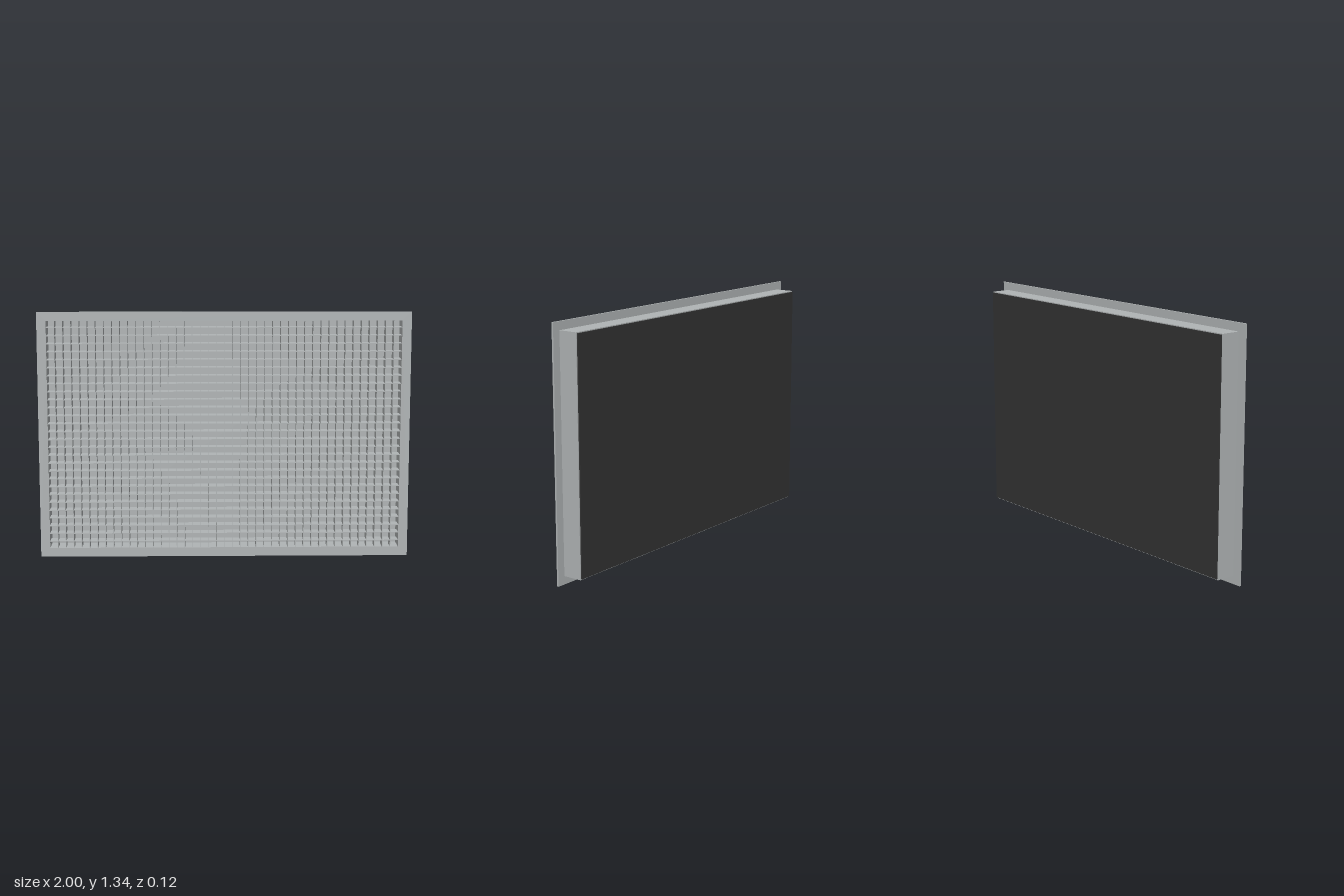
import * as THREE from 'three';

const CY = 0.668;       // centre height of the panel
const PITCH = 0.0432;   // spacing of the lattice

// Rectangular ring, centred on the panel, extruded from z0 to z1
function ringGeometry(outerW, outerH, innerW, innerH, z0, z1) {
  const corners = (w, h) => [[-w, -h], [w, -h], [w, h], [-w, h]].map(([x, y]) => new THREE.Vector2(x / 2, y / 2));
  const shape = new THREE.Shape(corners(outerW, outerH));
  shape.holes.push(new THREE.Path(corners(innerW, innerH).reverse()));
  const geometry = new THREE.ExtrudeGeometry(shape, { depth: z1 - z0, bevelEnabled: false });
  return geometry.translate(0, CY, z0);
}

function boxGeometry(w, h, z0, z1, x = 0, y = CY) {
  return new THREE.BoxGeometry(w, h, z1 - z0).translate(x, y, (z0 + z1) / 2);
}

export function createModel() {
  const group = new THREE.Group();
  const aluminium = new THREE.MeshStandardMaterial({ color: 0xb0b4b5 });
  aluminium.name = 'aluminium grey';
  const black = new THREE.MeshStandardMaterial({ color: 0x333333 });
  black.name = 'backing black';

  const add = (name, geometry, material, parent = group) => {
    const mesh = new THREE.Mesh(geometry, material);
    mesh.name = name;
    parent.add(mesh);
  };

  // Thin front flange and the deep neck behind it
  add('frontFlange', ringGeometry(2, 1.336, 1.9, 1.238, 0.052, 0.062), aluminium);
  add('neck', ringGeometry(1.91, 1.248, 1.9, 1.238, -0.055, 0.052), aluminium);

  // Closed rear pan with a dark backing sheet
  add('rearPan', boxGeometry(1.9, 1.238, -0.055, -0.05), aluminium);
  add('backingSheet', boxGeometry(1.9, 1.238, -0.062, -0.055), black);

  // Square lattice of thin blades
  const lattice = new THREE.Group();
  lattice.name = 'lattice';
  group.add(lattice);
  const blade = 0.003, back = -0.01, front = 0.06;
  for (let i = -21; i <= 21; i++) {
    add('verticalBlade', boxGeometry(blade, 1.238, back, front, i * PITCH), aluminium, lattice);
  }
  for (let j = -13.5; j <= 13.5; j++) {
    add('horizontalBlade', boxGeometry(1.9, blade, back, front, 0, CY + j * PITCH), aluminium, lattice);
  }
  return group;
}
